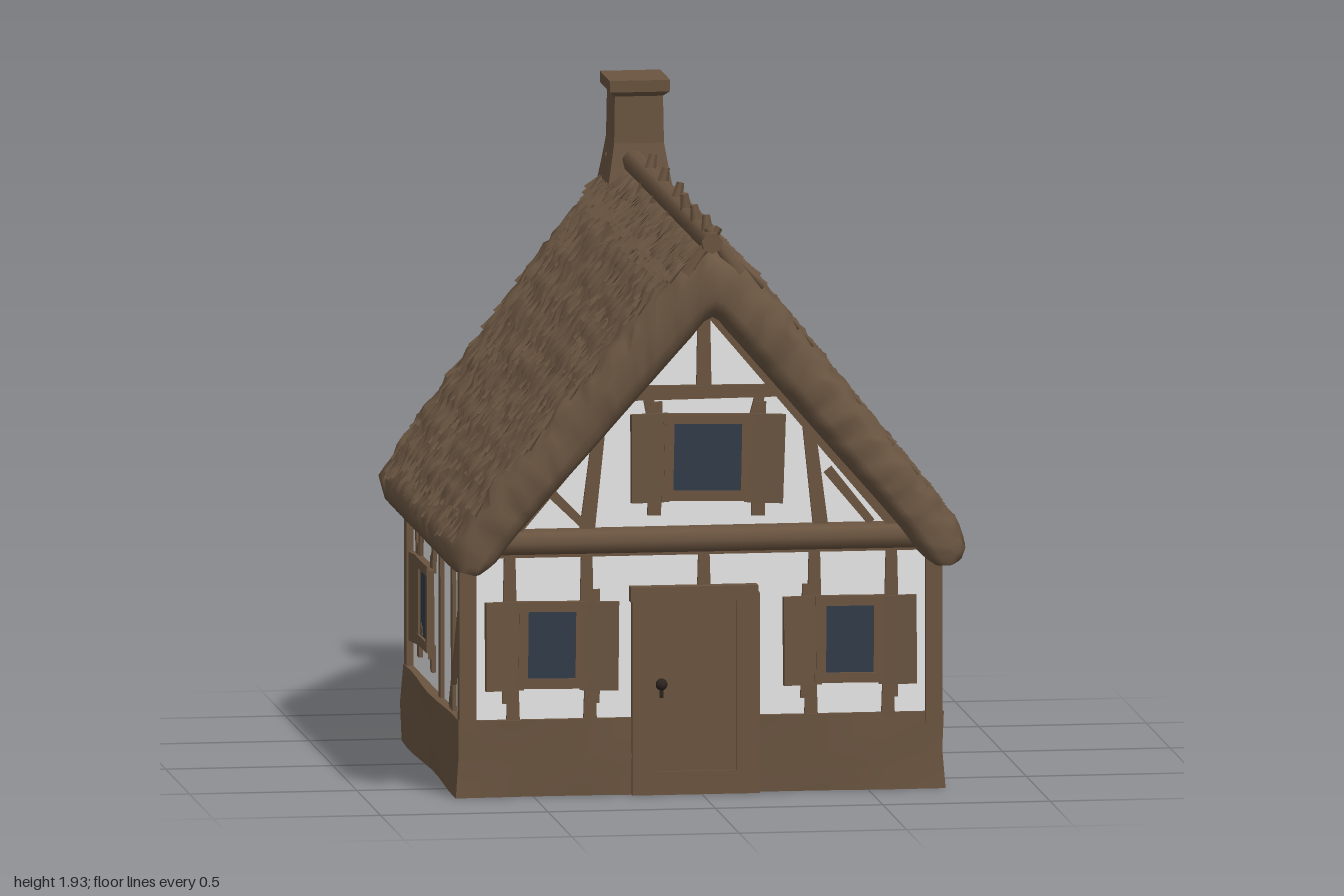
import * as THREE from 'three';
import { mergeGeometries, toCreasedNormals } from 'three/addons/utils/BufferGeometryUtils.js';

const mat = (name, color) => {
  const m = new THREE.MeshStandardMaterial({ color });
  m.name = name;
  return m;
};

export function createModel() {
  const thatch = mat('thatch brown', 0x6b5642);
  const timber = mat('timber brown', 0x6a5440);
  const plaster = mat('white plaster', 0xffffff);
  const glass = mat('slate blue glass', 0x303b48);
  const iron = mat('dark iron', 0x2b241e);

  let seed = 7;
  const rnd = () => (seed = (seed * 16807) % 2147483647) / 2147483647;
  const wob = (a) => (rnd() - 0.5) * 2 * a;

  const house = new THREE.Group();
  house.name = 'cottage';
  const add = (parent, name, geo, material, x = 0, y = 0, z = 0) => {
    const m = new THREE.Mesh(geo, material);
    m.name = name;
    m.position.set(x, y, z);
    parent.add(m);
    return m;
  };
  const box = (parent, name, material, w, h, d, x, y, z) =>
    add(parent, name, new THREE.BoxGeometry(w, h, d), material, x, y, z);
  const group = (parent, name, x, y, z) => {
    const g = new THREE.Group();
    g.name = name;
    g.position.set(x, y, z);
    parent.add(g);
    return g;
  };

  // Stone base, walls and gable block overhanging front and back
  const base = new THREE.BoxGeometry(1.455, 0.23, 1.16, 8, 2, 8);
  const bp = base.attributes.position;
  for (let i = 0; i < bp.count; i++) {
    const x = bp.getX(i), y = bp.getY(i), z = bp.getZ(i);
    const n = 0.006 * Math.sin(x * 9 + z * 7 + y * 15);
    bp.setXYZ(i, x + n * Math.sign(x), y, z + n * Math.sign(z));
  }
  add(house, 'base', toCreasedNormals(base, 0.7), timber, 0, 0.115, 0.115);
  box(house, 'walls', plaster, 1.4, 0.52, 1.13, 0, 0.48, 0.115);
  const tri = new THREE.Shape([[-0.68, 0.73], [0.68, 0.73], [0, 1.52]].map((p) => new THREE.Vector2(...p)));
  add(house, 'gable', new THREE.ExtrudeGeometry(tri, { depth: 1.34, bevelEnabled: false }), plaster, 0, 0, -0.59);
  for (const sx of [-1, 1]) for (const z of [-0.445, 0.675])
    box(house, 'cornerPost', timber, 0.05, 0.52, 0.05, sx * 0.696, 0.46, z);

  // Each face group has x to the right, y up and z outwards
  const face = (name, x, z, turn) => {
    const g = group(house, name, x, 0, z);
    g.rotation.y = turn;
    return g;
  };
  // Timber bars with slightly tapering, hand-cut ends
  const bar = (g, x0, y0, x1, y1, w = 0.04, d = 0.024) => {
    const geo = new THREE.BoxGeometry(w, Math.hypot(x1 - x0, y1 - y0), d);
    const p = geo.attributes.position;
    for (let i = 0; i < p.count; i++) if (p.getY(i) > 0) p.setX(i, p.getX(i) * 0.8);
    const m = add(g, 'timber', geo, timber, (x0 + x1) / 2, (y0 + y1) / 2, 0);
    m.rotation.z = Math.atan2(x0 - x1, y1 - y0);
  };
  // Window; worn ones have chipped brown corners over the glass
  const windowUnit = (parent, cx, cy, w = 0.15, h = 0.21, worn = false) => {
    const g = group(parent, 'window', cx, cy, 0);
    g.rotation.z = wob(0.02);
    box(g, 'glass', glass, w, h, 0.008, 0, 0, 0.008);
    for (const s of [-1, 1]) {
      box(g, 'frameSide', timber, 0.028, h + 0.04, 0.04, s * (w / 2 + 0.01), 0, 0);
      box(g, s < 0 ? 'sill' : 'lintel', timber, w + 0.06, 0.03, 0.044, 0, s * (h / 2 + 0.01), 0);
      const sh = box(g, 'shutter', timber, 0.115, h + 0.055, 0.018, s * (w / 2 + 0.067), -0.003, 0.014);
      sh.rotation.set(0, -s * 0.13, wob(0.03));
      box(g, 'peg', timber, 0.04, 0.05, 0.025, s * (w / 2 + 0.05), -h / 2 - 0.045, 0);
      box(g, 'peg', timber, 0.035, 0.04, 0.025, s * (w / 2 + 0.05), h / 2 + 0.04, 0);
      if (worn) box(g, 'wornCorner', timber, 0.05, 0.04, 0.006, s * (w / 2 - 0.02), s * (h / 2 - 0.015), 0.011).rotation.z = 0.5;
    }
  };
  const gableTimbers = (parent, out, worn) => {
    const g = group(parent, 'gableTimbers', 0, 0, out);
    const beam = add(g, 'crossBeam', new THREE.CylinderGeometry(0.04, 0.042, 1.26, 8), timber, 0, 0.77, 0.005);
    beam.rotation.z = Math.PI / 2;
    box(g, 'jetty', timber, 1.3, 0.05, out + 0.03, 0, 0.75, -out / 2);
    for (const s of [-1, 1]) {
      bar(g, s * 0.62, 0.76, s * 0.02, 1.46, 0.06, 0.04);
      bar(g, s * 0.35, 0.79, s * 0.31, 1.13, 0.045);
      bar(g, s * 0.15, 1.12, s * 0.17, 1.21, 0.035);
    }
    bar(g, -0.47, 0.93, -0.36, 0.82, 0.03);
    bar(g, 0.37, 0.97, 0.5, 0.81, 0.03);
    bar(g, -0.25, 1.21, 0.25, 1.21, 0.045, 0.03);
    bar(g, 0, 1.21, 0, 1.47, 0.045);
    windowUnit(g, 0.01, 1.015, 0.21, 0.21, worn);
  };

  // Front with door
  const front = face('frontFace', 0, 0.68, 0);
  gableTimbers(front, 0.07, false);
  for (const s of [-1, 1]) {
    windowUnit(front, s * 0.445, 0.452);
    for (const x of [0.34, 0.57]) bar(front, s * x, 0.57, s * x, 0.74);
    for (const x of [0.33, 0.56]) bar(front, s * x, 0.22, s * x, 0.34);
  }
  bar(front, 0.01, 0.6, 0.01, 0.74);
  for (const x of [-0.172, 0.138]) box(front, 'doorPost', timber, 0.07, 0.6, 0.06, x, 0.3, 0.006);
  box(front, 'doorLintel', timber, 0.38, 0.045, 0.066, -0.022, 0.6, 0.007);
  box(front, 'doorSill', timber, 0.37, 0.07, 0.06, -0.018, 0.035, 0.007);
  box(front, 'door', timber, 0.26, 0.52, 0.05, -0.018, 0.325, 0.003);
  add(front, 'doorKnob', new THREE.SphereGeometry(0.018, 10, 8), iron, -0.12, 0.33, 0.032);
  box(front, 'latch', iron, 0.012, 0.05, 0.008, -0.12, 0.315, 0.029);

  // Back with crossed braces in the middle and joists under the overhang
  const back = face('backFace', 0, -0.45, Math.PI);
  gableTimbers(back, 0.14, true);
  for (const s of [-1, 1]) {
    windowUnit(back, s * 0.45, 0.46, 0.15, 0.21, true);
    for (const x of [0.34, 0.57]) bar(back, s * x, 0.57, s * x, 0.74);
    bar(back, s * 0.5, 0.22, s * 0.5, 0.34);
    bar(back, s * 0.2, 0.22, s * 0.2, 0.74);
    bar(back, 0, 0.22, s * 0.18, 0.5, 0.035);
  }
  bar(back, 0, 0.22, 0, 0.74, 0.035);
  for (let i = -2; i <= 2; i++) box(back, 'joist', timber, 0.06, 0.04, 0.12, i * 0.28, 0.715, 0.06);

  // Long sides, mirrored
  for (const s of [-1, 1]) {
    const g = face(s > 0 ? 'leftFace' : 'rightFace', s * 0.7, 0, s * Math.PI / 2);
    const u = (z) => -s * z;
    bar(g, u(0.47), 0.22, u(0.46), 0.72);
    bar(g, u(0.21), 0.22, u(0.21), 0.72);
    bar(g, u(0.42), 0.23, u(0.65), 0.62);
    bar(g, u(0.05), 0.58, u(0.06), 0.72, 0.035);
    bar(g, u(-0.23), 0.57, u(-0.2), 0.72, 0.03);
    bar(g, u(-0.27), 0.57, u(-0.31), 0.72, 0.03);
    bar(g, u(0.04), 0.28, u(0.04), 0.36, 0.035);
    windowUnit(g, u(-0.105), 0.46, 0.17, 0.21, true);
  }

  // Thatched roof: arched cross-sections swept from back to front
  const mirrored = (pts) => new THREE.CatmullRomCurve3(
    [...pts.slice(1).reverse(), [0, pts[0][1]], ...pts.slice(1).map(([x, y]) => [-x, y])]
      .map(([x, y]) => new THREE.Vector3(x, y, 0)));
  const outer = mirrored([[0, 1.665], [0.07, 1.63], [0.14, 1.565], [0.45, 1.185], [0.73, 0.83], [0.772, 0.755], [0.755, 0.7]]);
  const inner = mirrored([[0, 1.46], [0.07, 1.39], [0.14, 1.31], [0.36, 1.055], [0.58, 0.8], [0.64, 0.72], [0.68, 0.69]]);
  const zAt = (x, t) => {
    const a = Math.abs(x), corner = 0.04 * (a / 0.77) ** 8;
    return THREE.MathUtils.lerp(-0.89 + 0.26 * a + corner, 1.0 - 0.14 * a - corner, t);
  };
  const N = 72, S = 90, ring = 2 * (N + 1), pos = [], idx = [];
  for (let j = 0; j <= S; j++) {
    const e = Math.min(j, S - j);                       // rounded gable ends
    const pull = [0.3, 0.12, 0.04][e] ?? 0;
    const t = j / S;
    for (let k = 0; k < ring; k++) {
      const top = k <= N, i = top ? k : ring - 1 - k;
      const a = outer.getPointAt(i / N), b = inner.getPointAt(i / N);
      const p = (top ? a : b).clone().lerp(top ? b : a, pull);
      const n = top ? wob(0.008) + 0.004 * Math.sin(i * 2.1) : 0;
      pos.push(p.x + n * Math.sign(p.x), p.y + n * 0.8, zAt(p.x, t) + (e < 1 ? wob(0.01) : 0));
    }
  }
  for (let j = 0; j < S; j++) for (let k = 0; k < ring; k++) {
    const k2 = (k + 1) % ring, a = j * ring + k, b = j * ring + k2;
    idx.push(a, b, b + ring, a, b + ring, a + ring);
  }
  for (let i = 0; i < N; i++) {
    const o = S * ring, r = ring - 1 - i;
    idx.push(o + i, o + i + 1, o + r - 1, o + i, o + r - 1, o + r);
    idx.push(i + 1, i, r, i + 1, r, r - 1);
  }
  const roof = new THREE.BufferGeometry();
  roof.setAttribute('position', new THREE.Float32BufferAttribute(pos, 3));
  roof.setIndex(idx);
  roof.computeVertexNormals();
  add(house, 'thatchRoof', roof, thatch);

  // Straw tufts lying down the slope
  const up = new THREE.Vector3(0, 1, 0);
  const tuft = (u, t, len, r) => {
    const p = outer.getPointAt(u);
    const rise = outer.getTangentAt(u).multiplyScalar(u < 0.5 ? 1 : -1);
    const geo = new THREE.ConeGeometry(r, len, 5);
    geo.applyQuaternion(new THREE.Quaternion().setFromUnitVectors(up, rise));
    return geo.translate(p.x, p.y, zAt(p.x, t));
  };
  const straw = [];
  for (let i = 0; i < 800; i++) {
    const u = rnd() < 0.5 ? 0.04 + rnd() * 0.4 : 0.56 + rnd() * 0.4;
    straw.push(tuft(u, 0.02 + rnd() * 0.96, 0.04 + rnd() * 0.04, 0.007 + rnd() * 0.005));
  }
  // Ridge bundles on both sides of the top
  for (let i = 0; i < 56; i++) for (const u of [0.45, 0.55])
    straw.push(tuft(u + wob(0.008), 0.02 + i / 57, 0.1 + wob(0.03), 0.014 + wob(0.004)));
  add(house, 'strawTufts', mergeGeometries(straw), thatch);

  // Ridge pole, pegs and crossed end sticks
  const pole = add(house, 'ridgePole', new THREE.CylinderGeometry(0.032, 0.035, 1.93, 7), timber, -0.008, 1.688, 0.025);
  pole.rotation.x = Math.PI / 2;
  for (const z of [0.9, 0.69, 0.46, 0.24, -0.07, -0.33]) {
    const peg = add(house, 'ridgePeg', new THREE.CylinderGeometry(0.012, 0.03, 0.13, 5), timber, -0.01, 1.695, z);
    peg.rotation.set(wob(0.2), 0, wob(0.3));
  }
  for (const s of [-1, 1]) {
    const stick = add(house, 'endStick', new THREE.CylinderGeometry(0.012, 0.025, 0.17, 5), timber, s * 0.03, 1.66, 0.95);
    stick.rotation.z = s * 0.6;
  }
  const tip = add(house, 'ridgeTip', new THREE.ConeGeometry(0.05, 0.22, 5), timber, -0.03, 1.68, -0.89);
  tip.rotation.x = -Math.PI / 2;

  // Square chimney with flared foot and cap
  const profile = [[0.16, 1.45], [0.155, 1.6], [0.135, 1.67], [0.117, 1.74], [0.113, 1.88], [0.14, 1.895], [0.142, 1.93], [0, 1.93]]
    .map((p) => new THREE.Vector2(...p));
  const stack = new THREE.LatheGeometry(profile, 4).rotateY(Math.PI / 4).toNonIndexed();
  stack.computeVertexNormals();
  add(house, 'chimney', stack, timber, 0.01, 0, -0.76).scale.set(0.9, 1, 1.04);

  return house;
}
